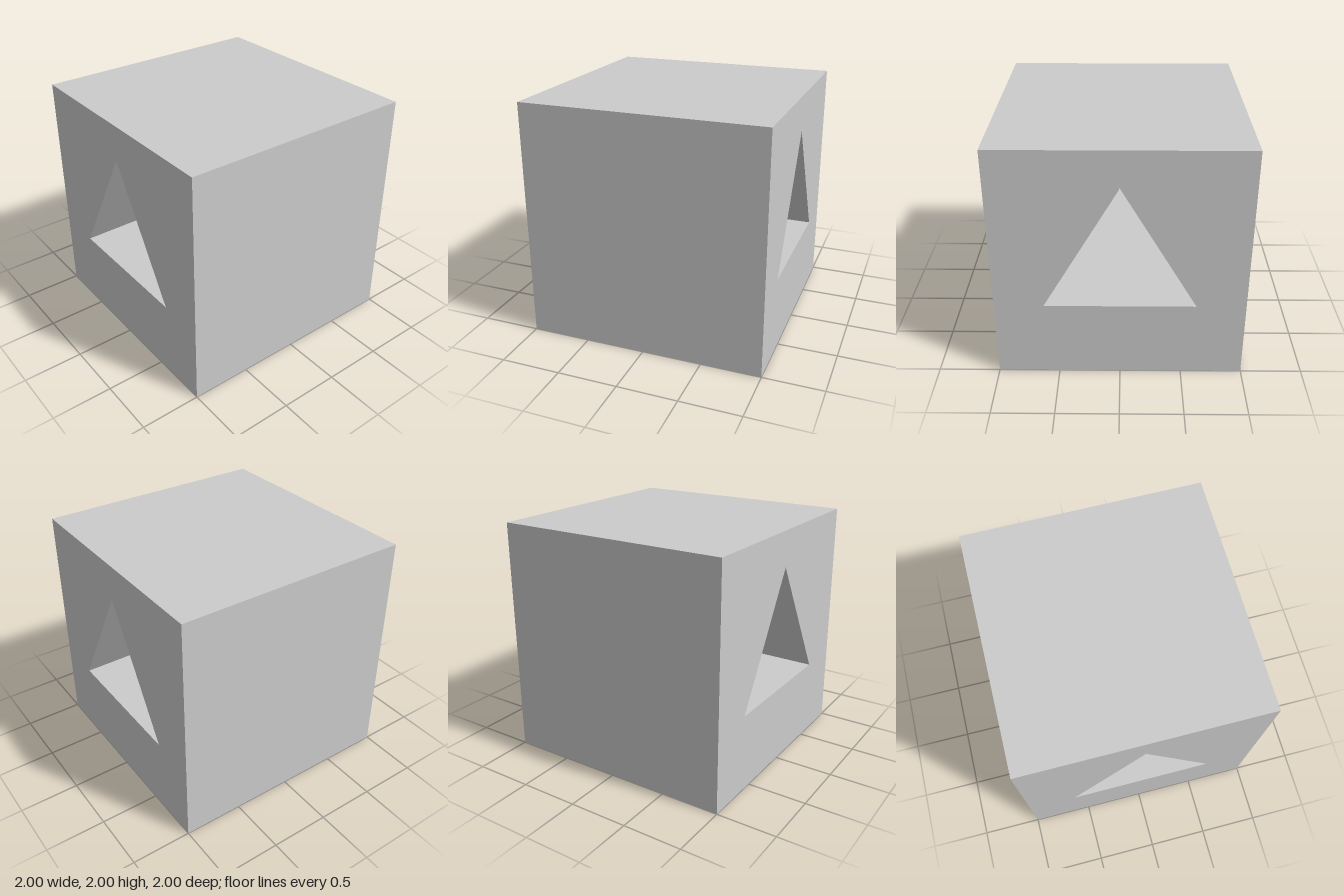
import * as THREE from 'three';

const material = new THREE.MeshStandardMaterial({ color: 0xcccccc, flatShading: true });

// Half-space a*x + b*y + c*z + d >= 0
const half = (a, b, c, d) => new THREE.Plane(new THREE.Vector3(a, b, c), d).normalize();
const difference = (f, g) => half(...f.map((v, i) => v - g[i]));

// Outer block and the triangular tunnel through it
const block = [
  half(1, 0, 0, 1), half(-1, 0, 0, 1), half(0, 1, 0, 0),
  half(0, -1, 0, 2), half(0, 0, 1, 1), half(0, 0, -1, 1),
];
const tunnel = [half(0, 1, 0, -0.655), half(-1.045, -0.605, 0, 1.0285), half(1.045, -0.605, 0, 1.0285)];

// Each shard owns the points where its linear function is the greatest
const mainShards = {
  leftShard: [0, 0, 0, 0],
  frontBottomShard: [0.214, -0.161, 0.116, -0.069],
  backBottomShard: [0.121, -0.015, -0.064, 0.031],
  backShard: [0.092, 0.028, -0.056, -0.001],
  topCornerShard: [-0.01, 0.207, 0.116, -0.495],
  core: [0.145, 0.044, -0.028, -0.01],
};
// The core is broken again into smaller shards
const coreShards = {
  rightShard: [0, 0, 0, 0],
  topShard: [-0.148, 0.229, -0.053, -0.217],
  topFrontShard: [-0.334, 0.389, 0.243, -0.605],
  topMiddleShard: [-0.238, 0.229, -0.053, -0.214],
  backCornerShard: [0.206, 0.282, -0.318, -0.858],
  frontShard: [-0.184, -0.032, 0.176, 0.06],
};

// Part of a convex polygon on the positive side of a plane
function clip(poly, plane) {
  const out = [];
  poly.forEach((p, i) => {
    const q = poly[(i + 1) % poly.length];
    const dp = plane.distanceToPoint(p), dq = plane.distanceToPoint(q);
    if (dp >= -1e-7) out.push(p);
    if ((dp > 1e-7 && dq < -1e-7) || (dp < -1e-7 && dq > 1e-7)) out.push(p.clone().lerp(q, dp / (dp - dq)));
  });
  return out;
}
const clipAll = (poly, planes) => planes.reduce(clip, poly);

function area(poly) {
  const sum = new THREE.Vector3();
  for (let i = 2; i < poly.length; i++) {
    const a = poly[i - 1].clone().sub(poly[0]);
    sum.add(a.cross(poly[i].clone().sub(poly[0])));
  }
  return sum.length() / 2;
}

// Large square lying in a plane and facing the given way
function square(plane, facing) {
  const n = plane.normal.clone().multiplyScalar(facing);
  const u = new THREE.Vector3(0.31, 0.52, 0.79).cross(n).normalize().multiplyScalar(8);
  const v = n.clone().cross(u);
  const c = plane.coplanarPoint(new THREE.Vector3());
  return [[-1, -1], [1, -1], [1, 1], [-1, 1]].map(([s, t]) => c.clone().addScaledVector(u, s).addScaledVector(v, t));
}

// Cut the tunnel out of a convex face, leaving convex pieces
function subtractTunnel(poly) {
  if (area(clipAll(poly, tunnel)) < 1e-6) return [poly];
  const pieces = [];
  let rest = poly;
  for (const side of tunnel) {
    pieces.push(clip(rest, side.clone().negate()));
    rest = clip(rest, side);
  }
  return pieces;
}

function shardGeometry(cuts) {
  const planes = [...block, ...cuts];
  const faces = [];
  planes.forEach((plane) => {
    const face = clipAll(square(plane, -1), planes.filter((p) => p !== plane));
    if (area(face) > 1e-6) faces.push(...subtractTunnel(face));
  });
  // Tunnel walls belonging to this shard
  tunnel.forEach((wall) => {
    faces.push(clipAll(square(wall, 1), [...tunnel.filter((p) => p !== wall), ...planes]));
  });
  const solid = faces.filter((f) => area(f) > 1e-6);
  const corners = solid.flat();

  // Split edges where neighbouring faces meet, then fan each face from its middle
  const positions = [];
  for (const face of solid) {
    const ring = [];
    face.forEach((p, i) => {
      const edge = face[(i + 1) % face.length].clone().sub(p);
      const length = edge.length();
      if (length < 1e-5) return;
      edge.divideScalar(length);
      const stops = [0];
      for (const c of corners) {
        const t = c.clone().sub(p).dot(edge);
        if (t < 1e-5 || t > length - 1e-5) continue;
        if (p.clone().addScaledVector(edge, t).distanceTo(c) < 1e-5 && !stops.some((s) => Math.abs(s - t) < 1e-5)) stops.push(t);
      }
      stops.sort((a, b) => a - b).forEach((t) => ring.push(p.clone().addScaledVector(edge, t)));
    });
    const middle = new THREE.Vector3();
    face.forEach((p) => middle.addScaledVector(p, 1 / face.length));
    ring.forEach((p, i) => {
      for (const v of [middle, p, ring[(i + 1) % ring.length]]) positions.push(v.x, v.y, v.z);
    });
  }
  const geometry = new THREE.BufferGeometry();
  geometry.setAttribute('position', new THREE.Float32BufferAttribute(positions, 3));
  geometry.computeVertexNormals();
  return geometry;
}

// Planes that separate one shard from the others in its set
const cutsFor = (name, set) => Object.keys(set).filter((k) => k !== name).map((k) => difference(set[name], set[k]));

export function createModel() {
  const group = new THREE.Group();
  group.name = 'fracturedBlock';
  const add = (name, cuts) => {
    const geometry = shardGeometry(cuts);
    if (!geometry.attributes.position.count) return;
    const mesh = new THREE.Mesh(geometry, material);
    mesh.name = name;
    group.add(mesh);
  };
  for (const name of Object.keys(mainShards)) {
    const cuts = cutsFor(name, mainShards);
    if (name !== 'core') add(name, cuts);
    else for (const inner of Object.keys(coreShards)) add(inner, [...cuts, ...cutsFor(inner, coreShards)]);
  }
  return group;
}
